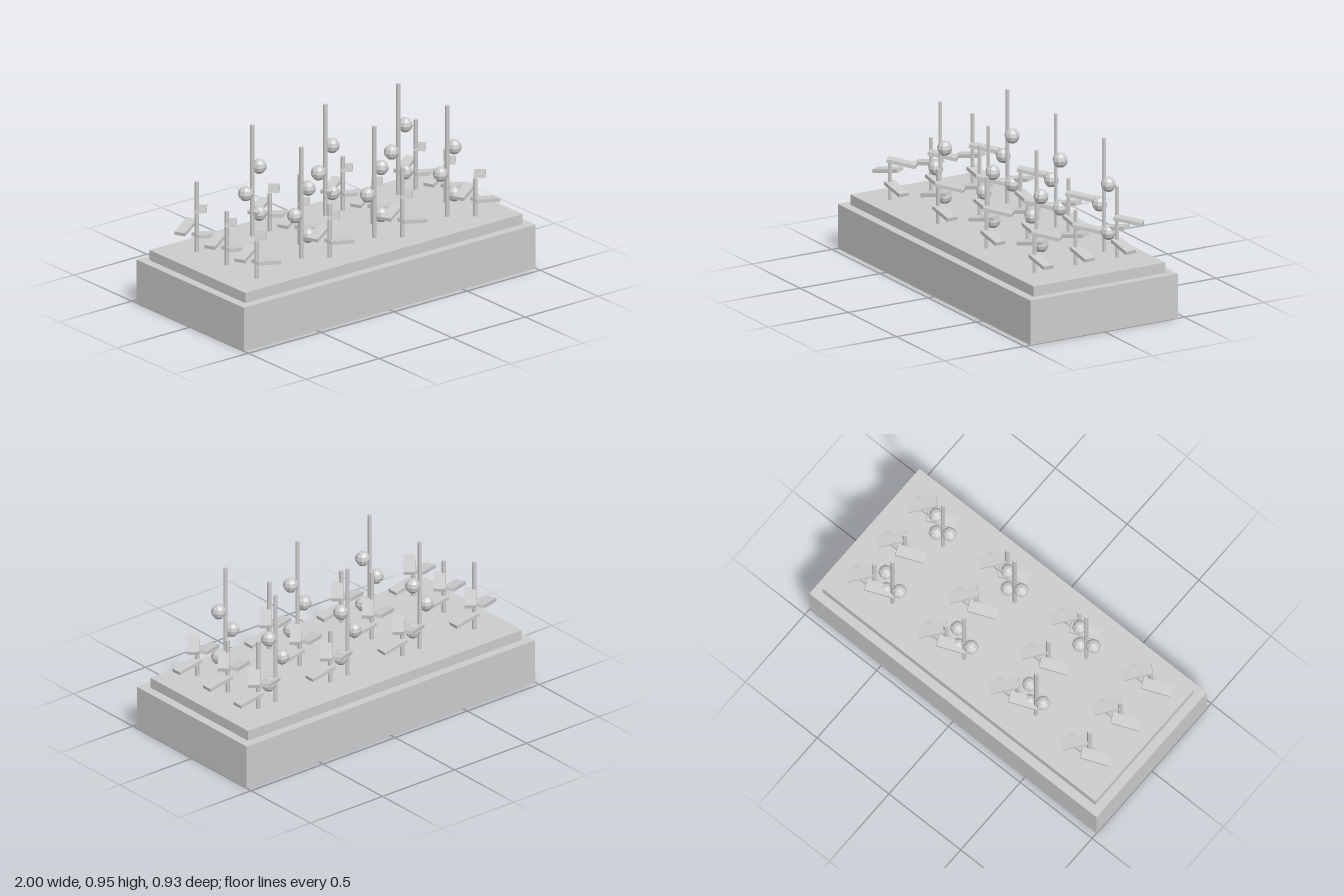
import * as THREE from 'three';

export function createModel() {
  const model = new THREE.Group();
  model.name = 'plantingBed';
  const material = new THREE.MeshStandardMaterial({ color: 0xcccccc, flatShading: true });
  const SOIL = 0.308;

  const add = (parent, name, geometry, x, y, z) => {
    const mesh = new THREE.Mesh(geometry, material);
    mesh.name = name;
    mesh.position.set(x, y, z);
    parent.add(mesh);
    return mesh;
  };

  // Bed box and raised soil slab
  add(model, 'bed', new THREE.BoxGeometry(2, 0.25, 0.925), 0, 0.125, 0);
  add(model, 'soil', new THREE.BoxGeometry(1.9, 0.058, 0.825), 0, 0.279, 0);

  // Leafy plants: stalk height cycles through three sizes
  const heights = [0.215, 0.3075, 0.4];
  const leafGeometry = new THREE.BoxGeometry(0.16, 0.02, 0.062);
  const leaves = [
    { x: 0.068, y: 0.08, z: 0, turn: 0 },
    { x: -0.058, y: 0.149, z: -0.02, turn: 3.6 },
    { x: 0.06, y: 0.218, z: -0.038, turn: 0.87 },
  ];
  [0.277, 0.02, -0.238].forEach((z, row) => {
    [-0.765, -0.265, 0.235, 0.735].forEach((x, col) => {
      const plant = new THREE.Group();
      plant.name = 'leafyPlant';
      plant.position.set(x, SOIL, z);
      model.add(plant);
      const h = heights[(row + col) % 3];
      add(plant, 'stalk', new THREE.CylinderGeometry(0.0122, 0.0122, h, 6), 0, h / 2, 0);
      for (const l of leaves) {
        add(plant, 'leaf', leafGeometry, l.x, l.y, l.z).rotation.set(0, l.turn, -0.18);
      }
    });
  });

  // Staked plants: tall pole with three fruits on alternating sides
  const poleGeometry = new THREE.CylinderGeometry(0.0115, 0.0115, 0.638, 6);
  const fruitGeometry = new THREE.SphereGeometry(0.042, 8, 6);
  for (const z of [0.19, -0.232]) {
    for (const x of [-0.389, 0.111, 0.611]) {
      const plant = new THREE.Group();
      plant.name = 'fruitPlant';
      plant.position.set(x, SOIL, z);
      model.add(plant);
      add(plant, 'pole', poleGeometry, 0, 0.319, 0);
      for (let i = 0; i < 3; i++) {
        add(plant, 'fruit', fruitGeometry, i % 2 ? -0.046 : 0.047, 0.12 + i * 0.135, 0);
      }
    }
  }
  return model;
}
